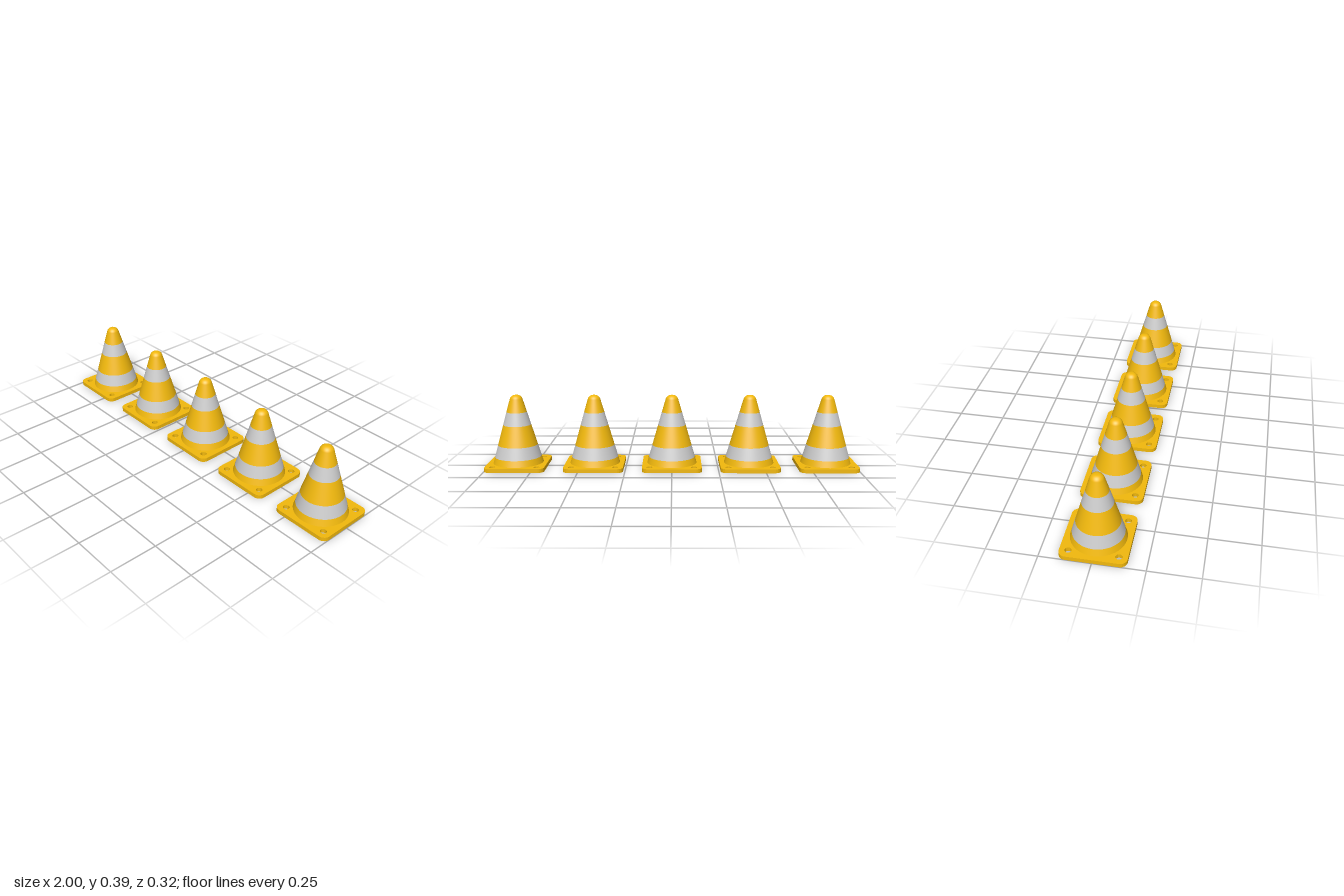
import * as THREE from 'three';
import { toCreasedNormals } from 'three/addons/utils/BufferGeometryUtils.js';

const BASE_H = 0.021, TOP = 0.392, SIDES = 64;
const SLOPE = 0.289, FOOT_R = 0.135, BORE_R = 0.129;

const yellow = new THREE.MeshStandardMaterial({ color: 0xf2b90d });
const grey = new THREE.MeshStandardMaterial({ color: 0xcccccc });

const coneRadius = (y) => FOOT_R - SLOPE * (y - BASE_H);

function part(name, geometry, material) {
  const mesh = new THREE.Mesh(geometry, material);
  mesh.name = name;
  return mesh;
}

function lathe(points) {
  return new THREE.LatheGeometry(points.map(([r, y]) => new THREE.Vector2(r, y)), SIDES);
}

// Rounded tip: an arc tangent to the cone wall, ending in a small flat on the axis
function tipArc(flat, radius, top) {
  const start = Math.atan(SLOPE), points = [];
  for (let i = 0; i <= 10; i++) {
    const a = start + (Math.PI / 2 - start) * i / 10;
    points.push([flat + radius * Math.cos(a), top - radius + radius * Math.sin(a)]);
  }
  points.push([0, top]);
  return points;
}

// Square plate with rounded corners, four bolt holes and a central bore
function baseGeometry() {
  const h = 0.16, r = 0.035, c = h - r;
  const shape = new THREE.Shape();
  shape.absarc(c, c, r, 0, Math.PI / 2);
  shape.absarc(-c, c, r, Math.PI / 2, Math.PI);
  shape.absarc(-c, -c, r, Math.PI, Math.PI * 1.5);
  shape.absarc(c, -c, r, Math.PI * 1.5, Math.PI * 2);
  const hole = (x, y, radius) =>
    shape.holes.push(new THREE.Path().absarc(x, y, radius, 0, Math.PI * 2, true));
  hole(0, 0, BORE_R);
  for (const x of [-0.118, 0.118]) for (const y of [-0.118, 0.118]) hole(x, y, 0.016);
  const geometry = new THREE.ExtrudeGeometry(shape, { depth: BASE_H, bevelEnabled: false, curveSegments: 24 });
  geometry.rotateX(-Math.PI / 2);
  return toCreasedNormals(geometry, 0.6);
}

export function createModel() {
  const group = new THREE.Group();
  group.name = 'trafficCones';

  const base = baseGeometry();

  // Stacked bands of the outer wall
  const bands = [
    ['lowerBody', BASE_H, 0.055, yellow],
    ['lowerStripe', 0.055, 0.12, grey],
    ['middleBody', 0.12, 0.23, yellow],
    ['upperStripe', 0.23, 0.3, grey],
  ].map(([name, y0, y1, material]) =>
    [name, lathe([[coneRadius(y0), y0], [coneRadius(y1), y1]]), material]);

  const tip = lathe([[coneRadius(0.3), 0.3], ...tipArc(0.005, 0.03, TOP)]);

  // Hollow inside, listed from the top down so it faces inwards
  const inner = lathe([[BORE_R, BASE_H], ...tipArc(0.003, 0.024, TOP - 0.008)].reverse());

  for (let i = -2; i <= 2; i++) {
    const cone = new THREE.Group();
    cone.name = 'cone' + (i + 3);
    cone.position.x = i * 0.42;
    cone.add(part('base', base, yellow));
    for (const band of bands) cone.add(part(...band));
    cone.add(part('tip', tip, yellow));
    cone.add(part('innerWall', inner, yellow));
    group.add(cone);
  }
  return group;
}
